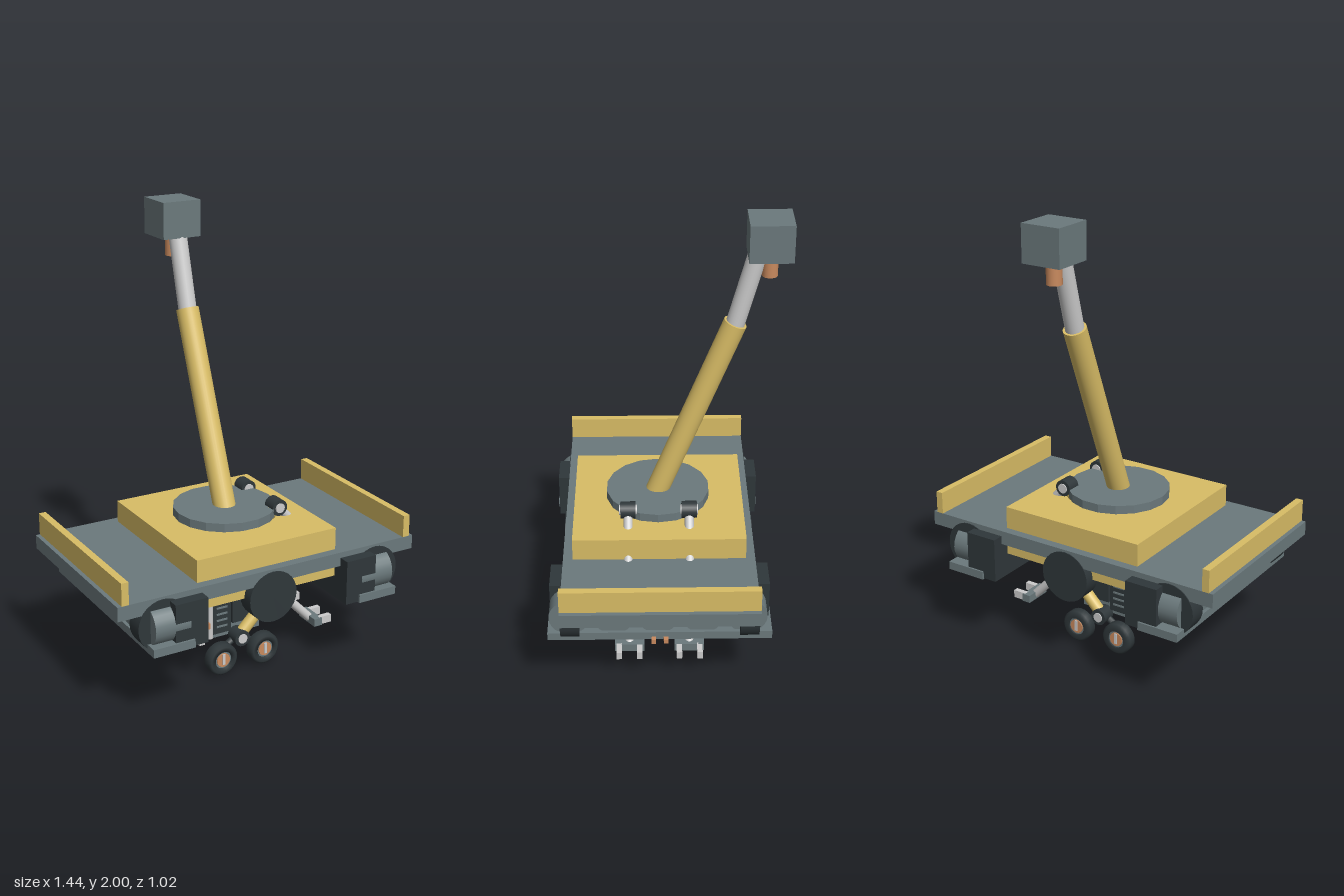
import * as THREE from 'three';

const mat = (color, flat = false) =>
  new THREE.MeshStandardMaterial({ color, flatShading: flat, side: THREE.DoubleSide });
const SLATE = mat(0x6b797c), DARK = mat(0x2f373a), YELLOW = mat(0xd9bd66);
const LIGHT = mat(0xd6d9d9), ORANGE = mat(0xc98a5e), FACETED = mat(0x6b797c, true);
const C = 0.033; // z of the chassis centre line

export function createModel() {
  const model = new THREE.Group();
  model.name = 'craneVehicle';

  const add = (parent, name, geo, material, x = 0, y = 0, z = 0) => {
    const mesh = new THREE.Mesh(geo, material);
    mesh.name = name;
    mesh.position.set(x, y, z);
    parent.add(mesh);
    return mesh;
  };
  // box given by its limits on each axis
  const box = (parent, name, m, x0, x1, y0, y1, z0, z1) =>
    add(parent, name, new THREE.BoxGeometry(x1 - x0, y1 - y0, z1 - z0), m,
      (x0 + x1) / 2, (y0 + y1) / 2, (z0 + z1) / 2);
  // cylinder between two points
  const rod = (parent, name, m, a, b, r, sides = 20) => {
    const p = new THREE.Vector3(...a), q = new THREE.Vector3(...b);
    const mesh = add(parent, name, new THREE.CylinderGeometry(r, r, p.distanceTo(q), sides), m);
    mesh.position.copy(p).add(q).multiplyScalar(0.5);
    mesh.quaternion.setFromUnitVectors(new THREE.Vector3(0, 1, 0), q.sub(p).normalize());
    return mesh;
  };
  // cylinder lying along z
  const drum = (parent, name, m, x, y, z, r, w, sides = 24) =>
    rod(parent, name, m, [x, y, z - w / 2], [x, y, z + w / 2], r, sides);

  // Deck, end rails and pedestal
  box(model, 'deck', SLATE, -0.722, 0.722, 0.517, 0.58, -0.38, 0.445);
  for (const s of [-1, 1])
    box(model, 'endRail', YELLOW, s * 0.687 - 0.016, s * 0.687 + 0.016, 0.58, 0.68, -0.38, 0.445);
  box(model, 'pedestal', YELLOW, -0.34, 0.34, 0.58, 0.68, -0.34, 0.403);
  box(model, 'underPlate', YELLOW, -0.34, 0.34, 0.455, 0.517, -0.34, 0.403);

  // Turntable and telescopic boom
  const table = add(model, 'turntable', new THREE.CylinderGeometry(0.227, 0.227, 0.038, 18), FACETED, 0, 0.711, 0.035);
  table.rotation.y = Math.PI / 2;
  rod(model, 'boomOuter', YELLOW, [0, 0.69, 0.047], [0, 1.537, -0.29], 0.05, 28);
  rod(model, 'boomInner', LIGHT, [0, 1.47, -0.272], [0, 1.87, -0.38], 0.04, 24);
  box(model, 'boomHead', SLATE, -0.09, 0.09, 1.84, 2, -0.513, -0.332);
  rod(model, 'headNozzle', ORANGE, [0, 1.75, -0.424], [0, 1.86, -0.424], 0.033);

  // Running gear on both sides
  for (const s of [-1, 1]) {
    const gear = new THREE.Group();
    gear.name = 'runningGear';
    model.add(gear);
    box(gear, 'sideBeam', DARK, s * 0.415 - 0.075, s * 0.415 + 0.075, 0.354, 0.555, -0.432, 0.497);
    box(gear, 'skidPlate', SLATE, s * 0.5 - 0.095, s * 0.5 + 0.095, 0.35, 0.387, -0.44, 0.506);
    for (let i = -2; i <= 2; i++)
      rod(gear, 'roller', SLATE, [s * 0.42, 0.455, 0.04 + i * 0.187], [s * 0.58, 0.455, 0.04 + i * 0.187], 0.085, 24);
  }
  for (const x of [-0.52, 0, 0.52])
    for (const s of [-1, 1]) drum(model, 'sideWheel', DARK, x, 0.455, C + s * 0.377, 0.115, 0.08, 28);

  // Hanging body with louvred panels
  const body = new THREE.Group();
  body.name = 'lowerBody';
  model.add(body);
  box(body, 'bodyCore', SLATE, -0.13, 0.13, 0.14, 0.46, C - 0.09, C + 0.09);
  box(body, 'rearPack', DARK, -0.16, -0.12, 0.16, 0.46, C - 0.08, C + 0.08);
  for (const s of [-1, 1]) {
    box(body, 'sidePanel', DARK, -0.125, -0.03, 0.17, 0.455, C + s * 0.1 - 0.015, C + s * 0.1 + 0.015);
    box(body, 'sidePanel', DARK, -0.02, 0.065, 0.2, 0.455, C + s * 0.095 - 0.015, C + s * 0.095 + 0.015);
    for (let i = 0; i < 6; i++)
      box(body, 'louvre', SLATE, -0.105, -0.05, 0.2 + i * 0.03, 0.208 + i * 0.03,
        C + s * 0.115 - 0.004, C + s * 0.115 + 0.004);
  }

  // Small wheels and their brackets
  for (const s of [-1, 1]) {
    const z = C + s * 0.16;
    for (const x of [-0.108, 0.106]) {
      const wheel = new THREE.Group();
      wheel.name = 'smallWheel';
      wheel.position.set(x, 0.074, z);
      model.add(wheel);
      const profile = [[0.04, -0.026], [0.062, -0.029], [0.073, -0.018], [0.073, 0.018], [0.062, 0.029], [0.04, 0.026], [0.04, -0.026]];
      add(wheel, 'tyre', new THREE.LatheGeometry(profile.map(p => new THREE.Vector2(...p)), 28), DARK)
        .rotation.x = Math.PI / 2;
      drum(wheel, 'rim', SLATE, 0, 0, 0, 0.042, 0.04);
      drum(wheel, 'hub', ORANGE, 0, 0, 0, 0.032, 0.05);
      box(wheel, 'hubBar', LIGHT, -0.007, 0.007, -0.02, 0.03, -0.03, 0.03);
      rod(model, 'wheelBracket', DARK, [x, 0.074, C + s * 0.12], [0, 0.143, C + s * 0.12], 0.016, 10);
      drum(model, 'axle', DARK, x, 0.074, C + s * 0.13, 0.014, 0.06, 12);
    }
  }

  // Two-part arm with a gripper; base is the height of its first joint
  const arm = (base, s) => {
    const g = new THREE.Group();
    g.name = 'gripperArm';
    g.position.set(0, base, C + s * 0.132);
    model.add(g);
    rod(g, 'upperArm', YELLOW, [0, 0, 0], [0.185, 0.19, 0], 0.027);
    rod(g, 'forearm', LIGHT, [0.185, 0.19, 0], [0.37, 0, 0], 0.02);
    for (const [x, y] of [[0, 0], [0.185, 0.19]]) {
      drum(g, 'joint', DARK, x, y, 0, 0.037, 0.066);
      drum(g, 'jointCap', LIGHT, x, y, 0, 0.022, 0.076);
    }
    box(g, 'palm', SLATE, 0.36, 0.4, -0.02, 0.016, -0.065, 0.065);
    for (const f of [-1, 1]) box(g, 'finger', LIGHT, 0.39, 0.455, -0.02, 0.016, f * 0.045 - 0.012, f * 0.045 + 0.012);
  };
  for (const s of [-1, 1]) {
    arm(0.143, s);
    arm(0.54, s);
  }

  // Central tool arm
  const tool = new THREE.Group();
  tool.name = 'toolArm';
  tool.position.z = C;
  model.add(tool);
  rod(tool, 'toolUpper', YELLOW, [0.12, 0.31, 0], [0.325, 0.288, 0], 0.02);
  drum(tool, 'toolJoint', DARK, 0.325, 0.288, 0, 0.032, 0.07);
  drum(tool, 'toolJointCap', YELLOW, 0.325, 0.288, 0, 0.018, 0.078);
  rod(tool, 'toolForearm', LIGHT, [0.325, 0.288, 0], [0.56, 0.375, 0], 0.018);
  box(tool, 'toolWrist', DARK, 0.545, 0.585, 0.345, 0.385, -0.04, 0.04);
  for (const s of [-1, 1]) box(tool, 'toolTip', ORANGE, 0.56, 0.617, 0.343, 0.363, s * 0.026 - 0.01, s * 0.026 + 0.01);

  // Rear hanging rods with clamps
  for (const s of [-1, 1]) {
    const z = C + s * 0.207;
    rod(model, 'hangerRod', SLATE, [-0.238, 0.21, z], [-0.238, 0.52, z], 0.012, 12);
    box(model, 'hangerFoot', LIGHT, -0.25, -0.225, 0.2, 0.225, z - 0.018, z + 0.018);
    box(model, 'upperClamp', YELLOW, -0.295, -0.23, 0.383, 0.408, z - 0.016, z + 0.016);
    box(model, 'lowerClamp', ORANGE, -0.33, -0.2, 0.272, 0.298, z - 0.025, z + 0.025);
    rod(model, 'hangerLink', LIGHT, [-0.19, 0.215, z], [-0.19, 0.46, z], 0.014, 12);
    rod(model, 'hangerStrut', LIGHT, [-0.215, 0.215, z], [-0.14, 0.215, C + s * 0.07], 0.014, 12);
  }
  return model;
}
